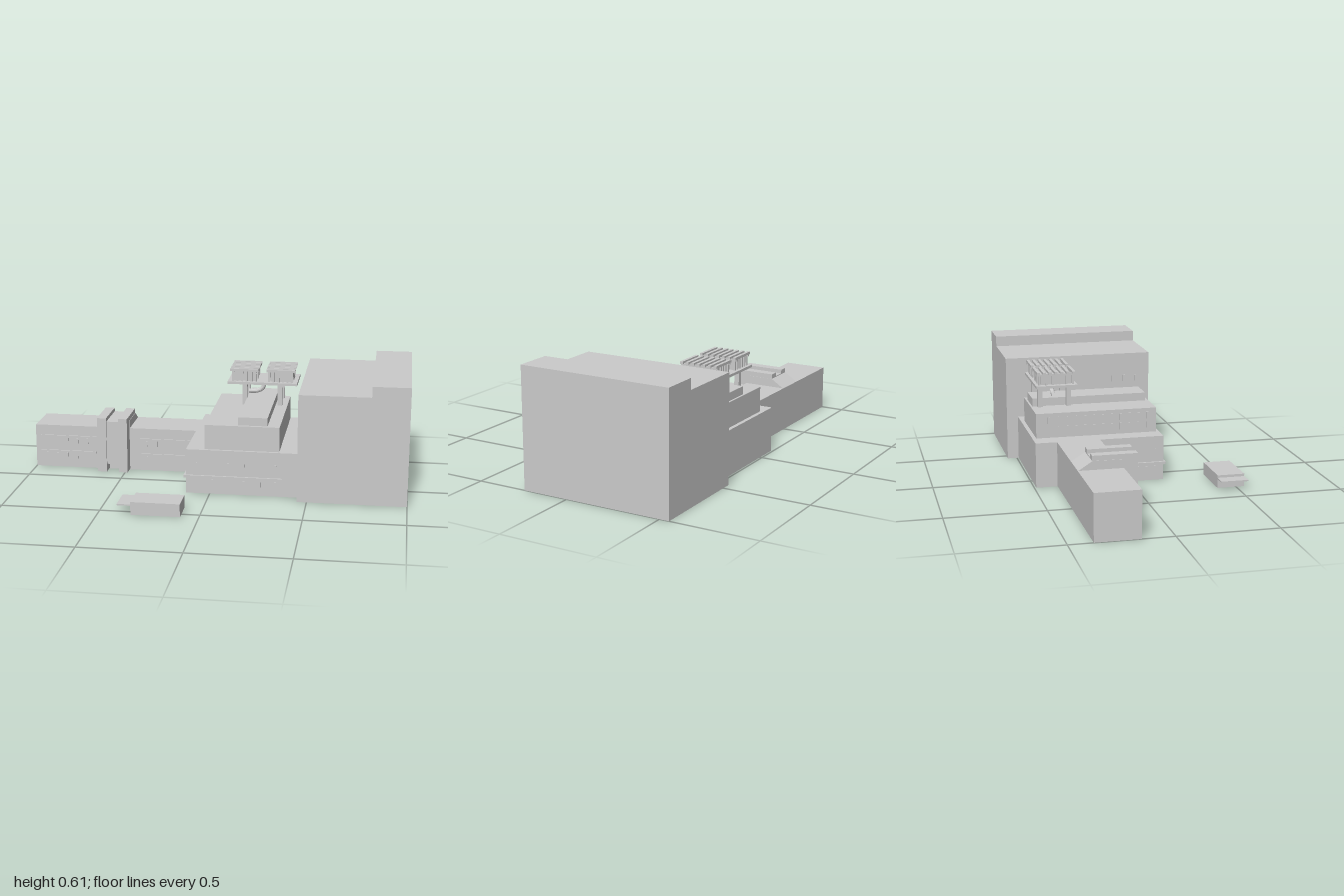
import * as THREE from 'three';

const material = new THREE.MeshStandardMaterial({ color: 0xcccccc, flatShading: true });

export function createModel() {
  const root = new THREE.Group();
  root.name = 'industrialComplex';

  const add = (parent, name, geometry) => {
    const mesh = new THREE.Mesh(geometry, material);
    mesh.name = name;
    parent.add(mesh);
    return mesh;
  };
  // Box given by its bounds on each axis
  const box = (parent, name, [x0, x1], [y0, y1], [z0, z1]) => {
    const mesh = add(parent, name, new THREE.BoxGeometry(x1 - x0, y1 - y0, z1 - z0));
    mesh.position.set((x0 + x1) / 2, (y0 + y1) / 2, (z0 + z1) / 2);
    return mesh;
  };
  const group = (name) => {
    const g = new THREE.Group();
    g.name = name;
    root.add(g);
    return g;
  };

  // Tall hall with its raised roof strip
  const hall = group('tallHall');
  const profile = new THREE.Shape([
    [0.45, 0], [1, 0], [1, 0.61], [0.81, 0.61], [0.81, 0.555], [0.45, 0.555],
  ].map(([x, y]) => new THREE.Vector2(x, y)));
  add(hall, 'hallBody', new THREE.ExtrudeGeometry(profile, { depth: 0.79, bevelEnabled: false })).position.z = -0.55;
  for (const y of [0.29, 0.4]) {
    for (let i = 0; i < 9; i++) {
      const z = -0.36 + i * 0.065;
      box(hall, 'hallWindow', [0.447, 0.45], [y, y + 0.035], [z, z + 0.012]);
    }
  }

  // Stepped middle building
  const middle = group('middleBuilding');
  box(middle, 'lowerStorey', [-0.122, 0.45], [0, 0.232], [-0.49, 0.175]);
  box(middle, 'upperStorey', [-0.028, 0.353], [0.232, 0.36], [-0.47, 0.16]);
  box(middle, 'roofBlock', [0.14, 0.29], [0.36, 0.402], [-0.46, 0.143]);
  box(middle, 'frontLedge', [-0.134, 0.37], [0.084, 0.097], [0.175, 0.185]);
  box(middle, 'sideLedge', [-0.134, -0.122], [0.084, 0.097], [-0.14, 0.185]);
  for (let i = 0; i < 12; i++) {
    const z = -0.41 + i * 0.047;
    for (const y of [0.255, 0.305]) {
      box(middle, 'upperWindow', [-0.032, -0.028], [y, y + 0.035], [z, z + 0.012]);
    }
  }
  for (let i = 0; i < 6; i++) {
    const x = -0.07 + i * 0.08;
    const z = -0.1 + i * 0.045;
    for (const y of [0.045, 0.135]) {
      box(middle, 'frontWindow', [x, x + 0.01], [y, y + 0.03], [0.175, 0.178]);
      box(middle, 'sideWindow', [-0.125, -0.122], [y, y + 0.03], [z, z + 0.01]);
    }
  }

  // Long low wing with thin ledges and windows
  const wing = group('longWing');
  box(wing, 'wingBody', [-1, -0.122], [0, 0.232], [-0.38, -0.158]);
  for (const [x0, x1] of [[-0.972, -0.665], [-0.425, -0.15]]) {
    for (const y of [0.084, 0.168]) {
      box(wing, 'wingLedge', [x0, x1], [y, y + 0.009], [-0.158, -0.151]);
      for (let i = 0; i < 5; i++) {
        const x = x0 + 0.03 + i * 0.055;
        box(wing, 'wingWindow', [x, x + 0.01], [y - 0.035, y - 0.005], [-0.158, -0.155]);
      }
    }
  }

  // Stair tower: two fins, recessed centre and a sloped back
  const tower = group('stairTower');
  box(tower, 'leftFin', [-0.531, -0.483], [0.004, 0.3], [-0.31, -0.09]);
  box(tower, 'rightFin', [-0.645, -0.596], [0.004, 0.3], [-0.31, -0.09]);
  box(tower, 'towerCentre', [-0.596, -0.531], [0.045, 0.28], [-0.31, -0.1]);
  const wedge = new THREE.Shape([
    new THREE.Vector2(0.38, 0.23), new THREE.Vector2(0.16, 0.23),
    new THREE.Vector2(0.16, 0.275), new THREE.Vector2(0.31, 0.275),
  ]);
  const slope = add(tower, 'slopedBack', new THREE.ExtrudeGeometry(wedge, { depth: 0.167, bevelEnabled: false }));
  slope.rotation.y = Math.PI / 2;
  slope.position.x = -0.648;

  // Rooftop cooling platform on four legs
  const cooling = group('coolingPlatform');
  box(cooling, 'deck', [0.035, 0.405], [0.475, 0.488], [-0.455, -0.24]);
  for (const x of [0.113, 0.3]) {
    for (const z of [-0.435, -0.285]) {
      box(cooling, 'platformLeg', [x, x + 0.025], [0.36, 0.475], [z, z + 0.025]);
    }
  }
  const path = new THREE.CatmullRomCurve3([
    [0.138, 0.415], [0.18, 0.417], [0.208, 0.43], [0.22, 0.452], [0.222, 0.478],
  ].map(([x, y]) => new THREE.Vector3(x, y, -0.345)));
  add(cooling, 'curvedDuct', new THREE.TubeGeometry(path, 14, 0.012, 10, false));

  // Two cooling units with ribbed sides and slatted tops
  for (const x0 of [0.047, 0.24]) {
    const x1 = x0 + 0.152;
    box(cooling, 'unitCore', [x0 + 0.02, x1 - 0.02], [0.488, 0.54], [-0.425, -0.27]);
    for (let i = 0; i < 7; i++) {
      const z = -0.448 + i * 0.0305;
      box(cooling, 'topSlat', [x0, x1], [0.543, 0.556], [z, z + 0.015]);
    }
    for (const x of [x0 + 0.01, x1 - 0.02]) {
      box(cooling, 'slatRail', [x, x + 0.01], [0.535, 0.546], [-0.448, -0.25]);
    }
    for (let i = 0; i < 6; i++) {
      const x = x0 + 0.01 + i * 0.0244;
      const z = -0.44 + i * 0.035;
      for (const side of [-0.44, -0.265]) {
        box(cooling, 'unitRib', [x, x + 0.01], [0.488, 0.543], [side, side + 0.01]);
      }
      for (const side of [x0 + 0.01, x1 - 0.02]) {
        box(cooling, 'sideRib', [side, side + 0.01], [0.488, 0.543], [z, z + 0.01]);
      }
    }
  }

  // Detached gatehouse with a thin canopy
  const gatehouse = group('gatehouse');
  box(gatehouse, 'gatehouseBody', [-0.337, -0.092], [0, 0.066], [0.402, 0.543]);
  box(gatehouse, 'canopy', [-0.405, -0.337], [0.046, 0.053], [0.402, 0.543]);

  return root;
}
